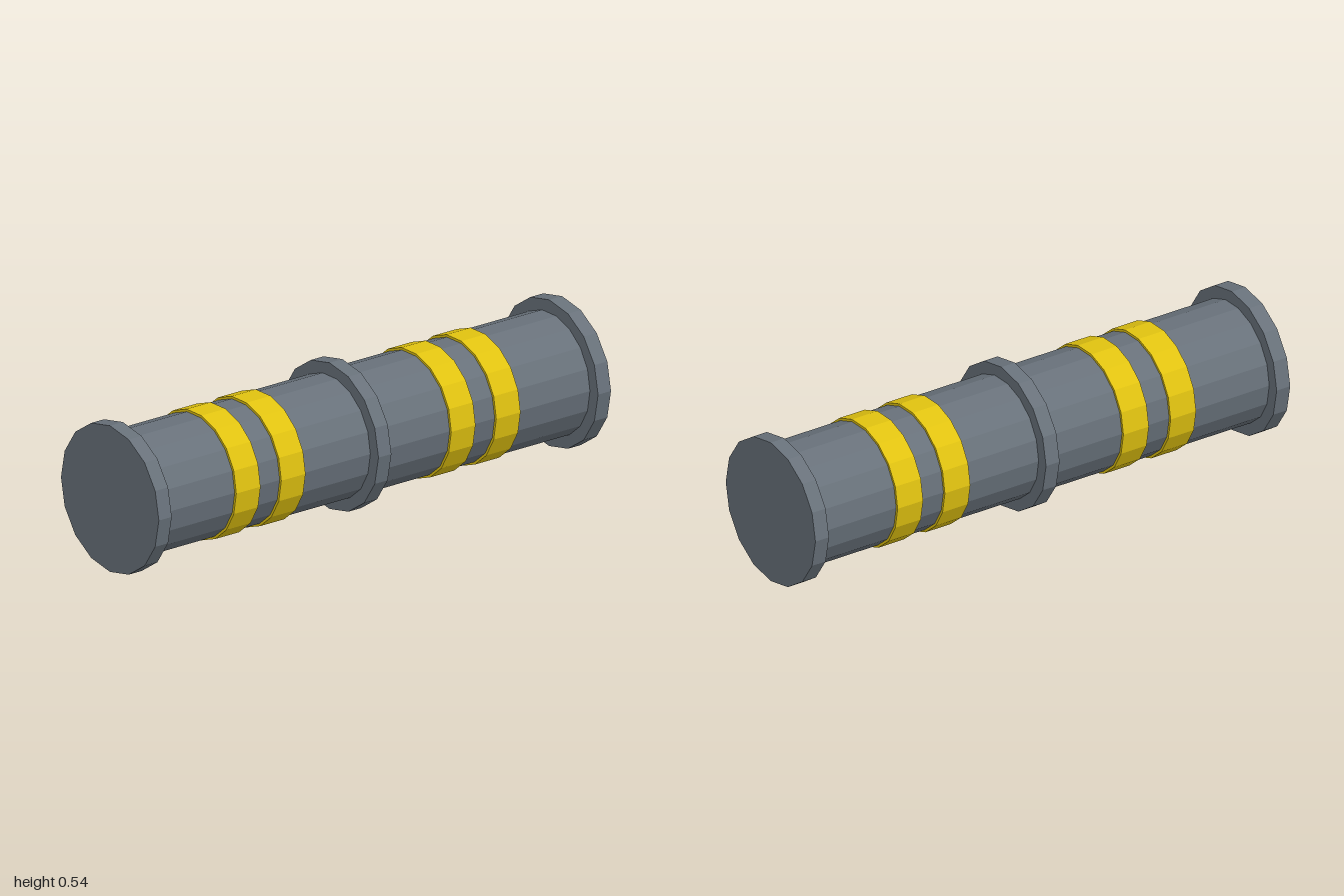
import * as THREE from 'three';

const AXIS_Y = 0.27;

export function createModel() {
  const model = new THREE.Group();
  model.name = 'pipe';

  const steel = new THREE.MeshStandardMaterial({ color: 0x68717a });
  steel.name = 'steel grey';
  const yellow = new THREE.MeshStandardMaterial({ color: 0xe0c210 });
  yellow.name = 'marking yellow';
  steel.flatShading = yellow.flatShading = true;

  // A faceted disc or tube lying along x, centred at the given x
  const ring = (name, radius, length, sides, x, material) => {
    const geometry = new THREE.CylinderGeometry(radius, radius, length, sides);
    geometry.rotateZ(-Math.PI / 2);
    const mesh = new THREE.Mesh(geometry, material);
    mesh.name = name;
    mesh.position.set(x, AXIS_Y, 0);
    model.add(mesh);
  };

  // Main pipe
  ring('pipeBody', 0.225, 1.96, 18, 0, steel);

  // Collar in the middle
  ring('middleCollar', 0.27, 0.057, 16, 0, steel);

  // End flanges and paired bands, mirrored left and right
  for (const [side, s] of [['left', 1], ['right', -1]]) {
    ring(side + 'Flange', 0.27, 0.057, 16, s * 0.9715, steel);
    ring(side + 'InnerBand', 0.234, 0.107, 18, s * 0.376, yellow);
    ring(side + 'OuterBand', 0.234, 0.107, 18, s * 0.575, yellow);
  }

  return model;
}
